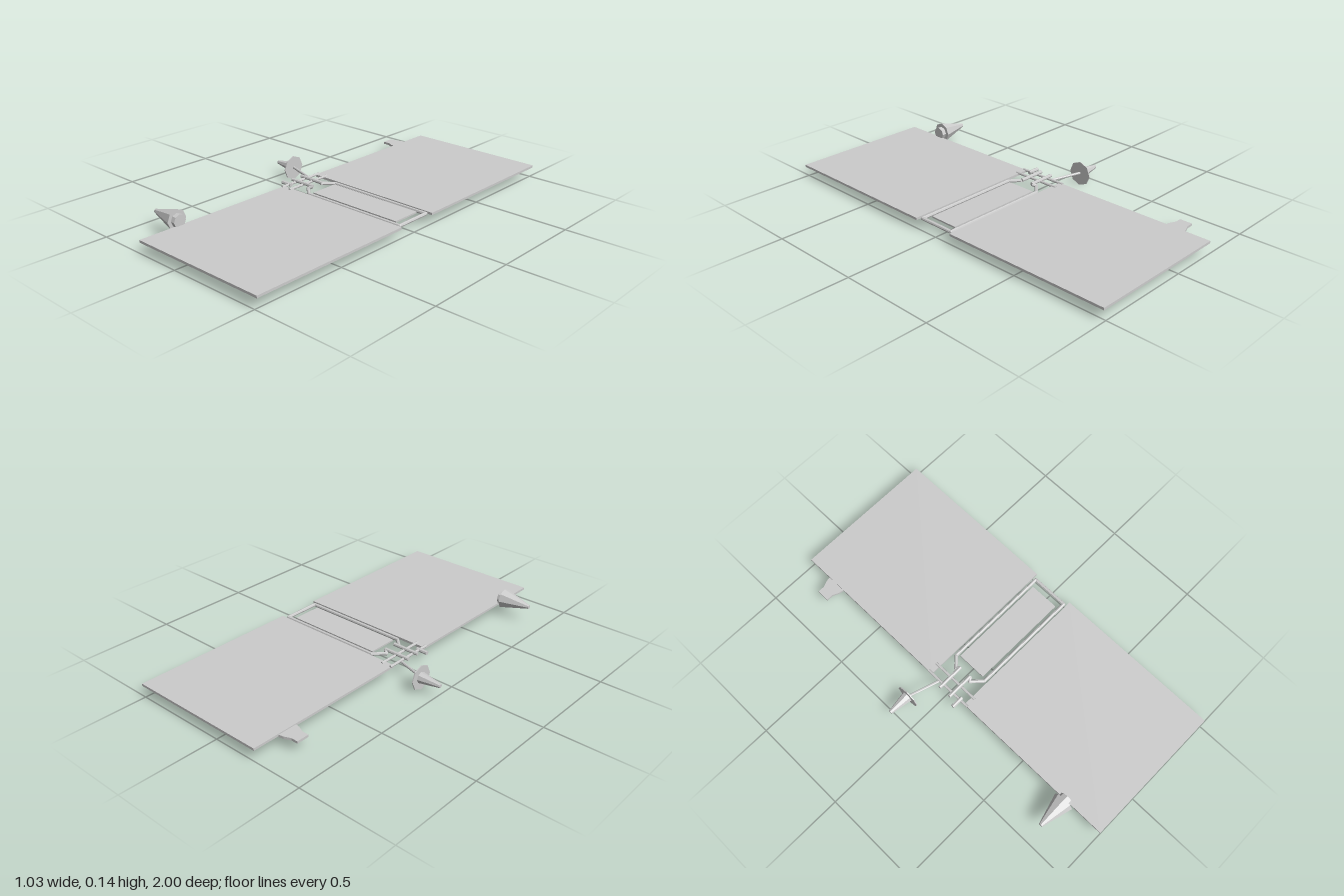
import * as THREE from 'three';

const mat = new THREE.MeshStandardMaterial({ color: 0xcccccc, flatShading: true });

export function createModel() {
  const model = new THREE.Group();

  function add(name, geometry, x = 0, y = 0, z = 0) {
    const mesh = new THREE.Mesh(geometry, mat);
    mesh.name = name;
    mesh.position.set(x, y, z);
    model.add(mesh);
    return mesh;
  }

  // Straight rod between two points
  function rod(name, a, b, r = 0.008) {
    const p = new THREE.Vector3(...a), q = new THREE.Vector3(...b);
    const d = q.clone().sub(p);
    const mesh = add(name, new THREE.CylinderGeometry(r, r, d.length(), 8));
    mesh.position.copy(p).add(q).multiplyScalar(0.5);
    mesh.quaternion.setFromUnitVectors(new THREE.Vector3(0, 1, 0), d.normalize());
    return mesh;
  }

  // Octagonal cone or drum lying along x, from x0 (radius r0) to x1 (radius r1)
  function drum(name, x0, r0, x1, r1, y, z) {
    const g = new THREE.CylinderGeometry(r0, r1, x1 - x0, 8);
    g.rotateZ(Math.PI / 2);
    return add(name, g, (x0 + x1) / 2, y, z);
  }

  // Two large flat panels
  for (const s of [1, -1]) {
    add(s > 0 ? 'frontPanel' : 'backPanel',
      new THREE.BoxGeometry(0.755, 0.012, 0.887), 0.1375, 0.06, s * 0.5565);
  }

  // Plate inside the frame
  add('centrePlate', new THREE.BoxGeometry(0.525, 0.008, 0.155), 0.1875, 0.06, -0.002);

  // Tubular frame with tapered neck and rounded joints
  for (const s of [1, -1]) {
    const pts = [[0.49, 0.06, s * 0.097], [-0.085, 0.06, s * 0.097],
      [-0.138, 0.062, s * 0.048], [-0.12, 0.072, s * 0.033]];
    for (let i = 0; i < 3; i++) {
      rod('frameTube', pts[i], pts[i + 1], 0.009);
      add('frameJoint', new THREE.SphereGeometry(0.009, 8, 6), ...pts[i]);
    }
    rod('neckRod', [-0.265, 0.073, s * 0.033], [-0.12, 0.073, s * 0.033], 0.009);
  }
  rod('frameEnd', [0.49, 0.06, -0.097], [0.49, 0.06, 0.097], 0.009);

  // Cross bars and side peg
  for (const x of [-0.238, -0.186]) {
    rod('crossBar', [x, 0.066, -0.137], [x, 0.066, 0.132], 0.007);
  }
  rod('sidePeg', [-0.288, 0.066, 0.08], [-0.225, 0.066, 0.08], 0.01);

  // Cone at the edge of the front panel
  drum('panelCone', -0.412, 0.01, -0.255, 0.053, 0.088, 0.78);
  drum('panelConeCollar', -0.256, 0.034, -0.232, 0.034, 0.088, 0.78);

  // Dish with pointed feed on an angled strut
  rod('dishStrut', [-0.404, 0.066, -0.112], [-0.238, 0.064, -0.06], 0.007);
  drum('dish', -0.406, 0.064, -0.401, 0.064, 0.064, -0.112);
  drum('dishFeed', -0.52, 0.01, -0.405, 0.029, 0.066, -0.115);

  // Flat stepped tab at the edge of the back panel
  const shape = new THREE.Shape([[-0.235, 0.757], [-0.265, 0.762], [-0.298, 0.777], [-0.333, 0.777],
    [-0.333, 0.842], [-0.298, 0.842], [-0.265, 0.856], [-0.235, 0.861]]
    .map(([x, y]) => new THREE.Vector2(x, y)));
  const tab = new THREE.ExtrudeGeometry(shape, { depth: 0.012, bevelEnabled: false });
  tab.rotateX(-Math.PI / 2);
  add('edgeTab', tab, 0, 0.049, 0);

  return model;
}
